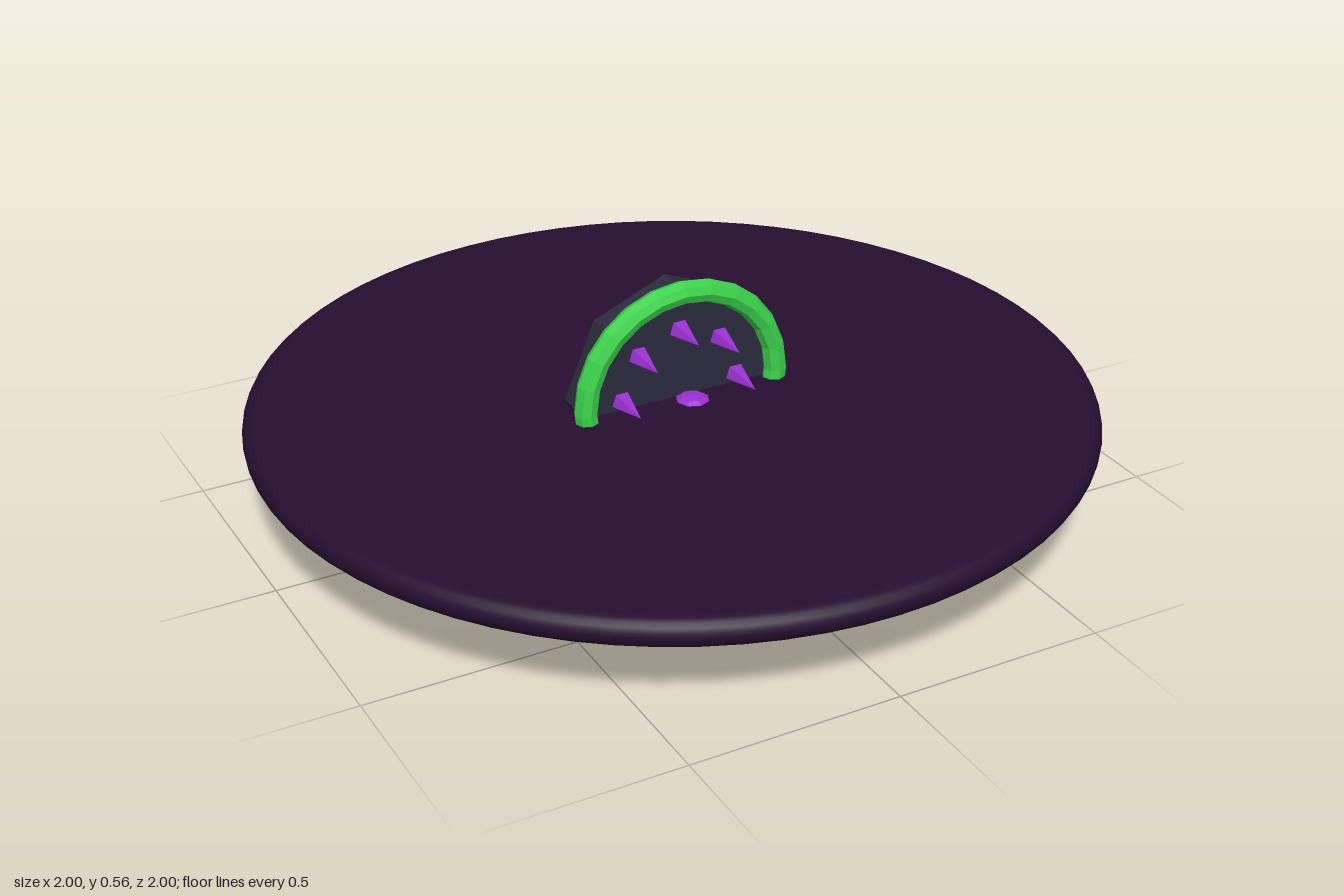
import * as THREE from 'three';

const mat = (name, color, flatShading = true) => {
  const m = new THREE.MeshStandardMaterial({ color, flatShading });
  m.name = name;
  return m;
};

export function createModel() {
  const model = new THREE.Group();
  const dark = mat('dark plum', 0x260e30, false);
  const slate = mat('slate', 0x2b2b3e);
  const green = mat('bright green', 0x3cd24c);
  const purple = mat('purple', 0x9a30d2);

  const add = (parent, name, geometry, material, x = 0, y = 0, z = 0) => {
    const mesh = new THREE.Mesh(geometry, material);
    mesh.name = name;
    mesh.position.set(x, y, z);
    parent.add(mesh);
    return mesh;
  };

  // Wide thin disc with a rounded rim
  const half = 0.035;
  const profile = [new THREE.Vector2(0, -half), new THREE.Vector2(0.955, -half)];
  for (let i = 0; i <= 10; i++) {
    const a = -Math.PI / 2 + (Math.PI * i) / 10;
    profile.push(new THREE.Vector2(1 - half + half * Math.cos(a), half * Math.sin(a)));
  }
  profile.push(new THREE.Vector2(0.955, half), new THREE.Vector2(0, half));
  add(model, 'disc', new THREE.LatheGeometry(profile, 72), dark, 0, 0.225, 0);

  // Upright round emblem through the middle of the disc
  const emblem = new THREE.Group();
  emblem.name = 'emblem';
  emblem.position.y = 0.282;
  model.add(emblem);

  // Eight-sided body
  const body = new THREE.CylinderGeometry(0.262, 0.262, 0.07, 8);
  body.rotateX(Math.PI / 2);
  add(emblem, 'body', body, slate);

  // Glowing rim
  add(emblem, 'rim', new THREE.TorusGeometry(0.25, 0.028, 8, 24), green, 0, 0, 0.048);

  // Ring of forward-pointing spikes
  const spike = new THREE.ConeGeometry(0.027, 0.1, 5);
  spike.rotateX(Math.PI / 2);
  for (let i = 0; i < 8; i++) {
    const a = (i * Math.PI) / 4;
    add(emblem, 'spike', spike, purple, 0.15 * Math.cos(a), 0.15 * Math.sin(a), 0.08);
  }

  // Flattened core bead
  const core = add(emblem, 'core', new THREE.SphereGeometry(0.04, 8, 4), purple, 0, 0, 0.1);
  core.scale.y = 0.25;

  return model;
}
